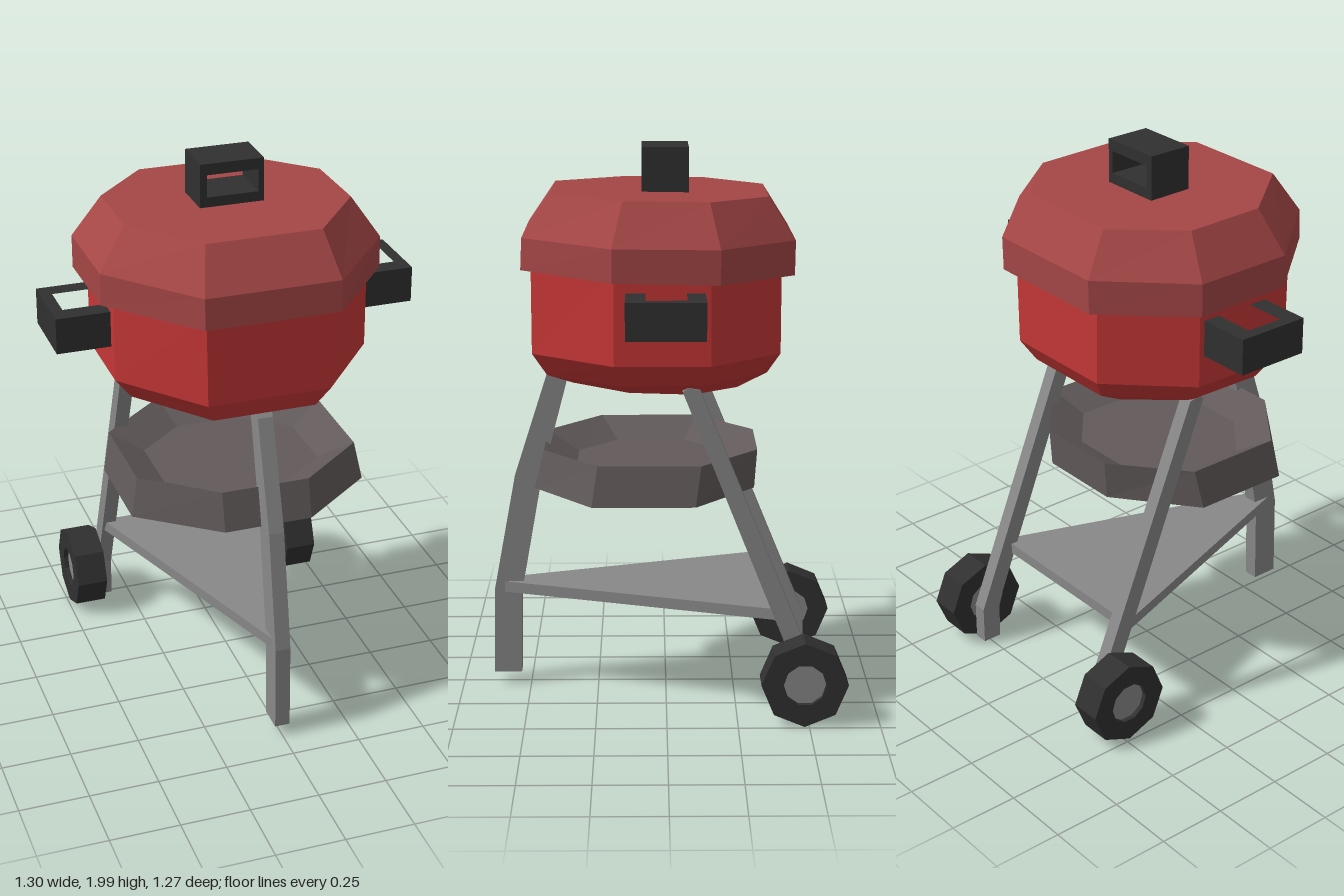
import * as THREE from 'three';

const mat = (name, color) => {
  const m = new THREE.MeshStandardMaterial({ color });
  m.name = name;
  return m;
};

// Faceted normals
const flat = (g) => {
  const f = g.index ? g.toNonIndexed() : g;
  f.computeVertexNormals();
  return f;
};

// Irregular octagon: front/back edges at zf/zb, side edges between kf and kb
function ring(y, hx, kx, zf, zb, kf, kb, tilt = 0) {
  const pts = [[kx, zf], [hx, kf], [hx, kb], [kx, zb], [-kx, zb], [-hx, kb], [-hx, kf], [-kx, zf]];
  return pts.map(([x, z]) => [x, y + tilt * z, z]);
}

// Closed skin through rings listed from bottom outside upward
function loft(rings) {
  const n = rings[0].length;
  const pos = rings.flat(2);
  const idx = [];
  for (let r = 0; r < rings.length - 1; r++) {
    for (let i = 0; i < n; i++) {
      const a = r * n + i, b = r * n + (i + 1) % n;
      idx.push(a, b, b + n, a, b + n, a + n);
    }
  }
  const top = (rings.length - 1) * n;
  for (let i = 1; i < n - 1; i++) {
    idx.push(0, i + 1, i);
    idx.push(top, top + i, top + i + 1);
  }
  const g = new THREE.BufferGeometry();
  g.setAttribute('position', new THREE.Float32BufferAttribute(pos, 3));
  g.setIndex(idx);
  return flat(g);
}

const outline = (pts) => pts.map(([a, b]) => new THREE.Vector2(a, b));

const polygon = (n, r) => Array.from({ length: n }, (_, i) =>
  [r * Math.cos(i * 2 * Math.PI / n), r * Math.sin(i * 2 * Math.PI / n)]);

const rect = (x0, y0, x1, y1) => [[x0, y0], [x1, y0], [x1, y1], [x0, y1]];

function extrude(pts, depth, hole) {
  const s = new THREE.Shape(outline(pts));
  if (hole) s.holes.push(new THREE.Path(outline(hole)));
  const g = new THREE.ExtrudeGeometry(s, { depth, bevelEnabled: false });
  return flat(g.translate(0, 0, -depth / 2));
}

// Outline given as [z, y], thickness along x
const extrudeX = (pts, depth, hole) => extrude(pts, depth, hole).rotateY(-Math.PI / 2);

// Outline given as [x, z], thickness along y
const extrudeY = (pts, depth, hole) => extrude(pts.map(([x, z]) => [x, -z]), depth,
  hole && hole.map(([x, z]) => [x, -z])).rotateX(-Math.PI / 2);

export function createModel() {
  const lidRed = mat('lidRed', 0xa54646);
  const bowlRed = mat('bowlRed', 0xc43636);
  const metal = mat('greyMetal', 0x888888);
  const black = mat('blackPlastic', 0x303030);
  const ash = mat('trayGrey', 0x625a5a);

  const model = new THREE.Group();
  model.name = 'kettleGrill';
  const add = (name, geometry, material, x = 0, y = 0, z = 0) => {
    const m = new THREE.Mesh(geometry, material);
    m.name = name;
    m.position.set(x, y, z);
    model.add(m);
    return m;
  };

  // Faceted lid, tipped very slightly
  add('lid', loft([
    ring(1.578, 0.505, 0.24, 0.505, -0.445, 0.185, -0.18, 0.02),
    ring(1.695, 0.505, 0.24, 0.5, -0.447, 0.185, -0.18, 0.01),
    ring(1.843, 0.405, 0.205, 0.4, -0.355, 0.15, -0.145, 0.015),
  ]), lidRed);

  // Bowl
  add('bowl', loft([
    ring(1.165, 0.31, 0.16, 0.33, -0.25, 0.13, -0.09, 0.03),
    ring(1.212, 0.4, 0.185, 0.42, -0.355, 0.16, -0.13, -0.01),
    ring(1.29, 0.46, 0.22, 0.47, -0.4, 0.18, -0.15),
    ring(1.62, 0.46, 0.225, 0.47, -0.4, 0.18, -0.15),
  ]), bowlRed);

  // Ash tray: wider below, hollowed on top
  add('ashTray', loft([
    ring(0.79, 0.435, 0.16, 0.47, -0.315, 0.26, -0.1),
    ring(0.93, 0.408, 0.16, 0.435, -0.325, 0.24, -0.12),
    ring(0.86, 0.29, 0.12, 0.32, -0.21, 0.18, -0.07),
  ]), ash);

  // Top handle
  add('lidHandle', extrude(rect(-0.12, 1.84, 0.11, 2), 0.165,
    rect(-0.095, 1.88, 0.09, 1.96)), black, 0, 0, 0.003);

  // Front leg with its two bends
  add('frontLeg', extrudeX([
    [0.535, 0.05], [0.635, 0.05], [0.63, 0.37], [0.55, 0.8], [0.425, 1.19],
    [0.395, 1.225], [0.345, 1.2], [0.455, 0.78], [0.53, 0.36],
  ], 0.055), metal);

  // Lower shelf
  add('shelf', extrudeY([[-0.025, 0.6], [0.025, 0.6], [0.37, -0.395], [-0.37, -0.395]], 0.04),
    metal, 0, 0.38, 0);

  // Mirrored parts
  for (const [side, s] of [['left', 1], ['right', -1]]) {
    add(side + 'Handle', extrudeY(rect(0.41, -0.13, 0.652, 0.14), 0.13,
      rect(0.45, -0.067, 0.61, 0.072)).rotateZ(s < 0 ? Math.PI : 0),
    black, 0, s < 0 ? 1.467 : 1.477, 0);

    add(side + 'BackLeg', extrudeX([
      [-0.535, 0.02], [-0.465, 0.02], [-0.46, 0.17], [-0.055, 1.185], [-0.075, 1.2],
      [-0.115, 1.19], [-0.535, 0.16],
    ], 0.052), metal, s * 0.349, 0, 0);

    add(side + 'Wheel', extrudeX(polygon(8, 0.153), 0.115, polygon(10, 0.075)),
      black, s * 0.433, 0.16, -0.483);

    add(side + 'Hub', flat(new THREE.CylinderGeometry(0.076, 0.076, 0.095, 10).rotateZ(Math.PI / 2)),
      metal, s * 0.425, 0.16, -0.483);
  }

  return model;
}
